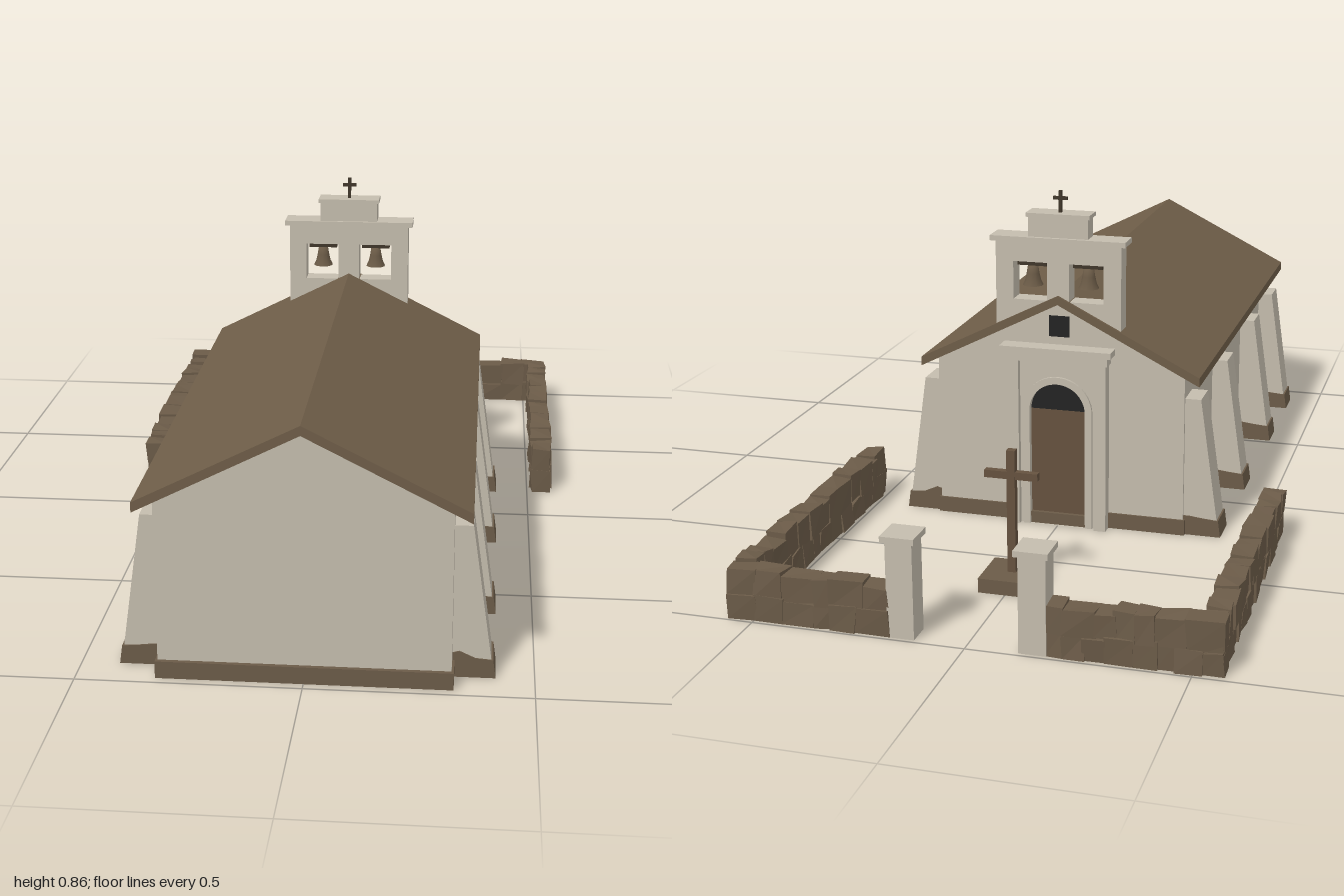
import * as THREE from 'three';

const mat = (name, color, side = THREE.FrontSide) => {
  const m = new THREE.MeshStandardMaterial({ color, side });
  m.name = name;
  return m;
};

export function createModel() {
  const plaster = mat('plaster', 0xc4bcad);
  const roofBrown = mat('roof brown', 0x6e5d48);
  const stone = mat('stone', 0x6b5b48);
  const wood = mat('wood', 0x65523f);
  const bronze = mat('bronze', 0x6a5a46, THREE.DoubleSide);
  const dark = mat('dark', 0x232323);
  const darkWood = mat('dark wood', 0x40362a);

  const root = new THREE.Group();
  root.name = 'chapel';
  const add = (name, geo, material, parent = root) => {
    const mesh = new THREE.Mesh(geo, material);
    mesh.name = name;
    parent.add(mesh);
    return mesh;
  };
  // box given by its extents
  const box = (name, m, x0, x1, y0, y1, z0, z1, parent) => {
    const b = add(name, new THREE.BoxGeometry(x1 - x0, y1 - y0, z1 - z0), m, parent);
    b.position.set((x0 + x1) / 2, (y0 + y1) / 2, (z0 + z1) / 2);
    return b;
  };
  const poly = (pts) => new THREE.Shape(pts.map(([x, y]) => new THREE.Vector2(x, y)));
  const rect = (x0, x1, y0, y1) => poly([[x0, y0], [x1, y0], [x1, y1], [x0, y1]]);
  // shape in x,y extruded from z0 to z1
  const prism = (shape, z0, z1, holes = []) => {
    shape.holes.push(...holes);
    const g = new THREE.ExtrudeGeometry(shape, { depth: z1 - z0, bevelEnabled: false, curveSegments: 12 });
    return g.translate(0, 0, z0);
  };

  // nave: two gable ends and two long walls with window openings
  const gable = () => poly([[-0.32, 0], [0.32, 0], [0.32, 0.417], [0, 0.582], [-0.32, 0.417]]);
  add('rearGable', prism(gable(), 0.94, 0.97), plaster);
  add('entranceGable', prism(gable(), -0.25, -0.22), plaster);
  const windows = [[0.125, 0.2], [0.59, 0.667]];
  for (const s of [1, -1]) {
    const holes = windows.map(([a, b]) => rect(a, b, 0.283, 0.367));
    const g = prism(rect(-0.22, 0.94, 0, 0.417), 0, 0.03, holes).rotateY(-Math.PI / 2);
    add('sideWall', g, plaster).position.x = s > 0 ? 0.32 : -0.29;
    for (const [a, b] of windows)
      box('windowPane', dark, s * 0.287 - 0.004, s * 0.287 + 0.004, 0.278, 0.372, a - 0.005, b + 0.005);
    box('sidePlinth', stone, s * 0.307 - 0.018, s * 0.307 + 0.018, 0, 0.04, -0.255, 0.98);
  }
  box('rearPlinth', stone, -0.3, 0.3, 0, 0.04, 0.935, 0.98);
  box('entrancePlinth', stone, -0.3, 0.3, 0, 0.04, -0.255, -0.215);

  // gabled roof
  add('roof', prism(poly([[-0.36, 0.397], [0, 0.58], [0.36, 0.397], [0.36, 0.42], [0, 0.602], [-0.36, 0.42]]), -0.268, 1), roofBrown);

  // sloping buttresses with stone feet
  for (const z of [-0.2, 0.147, 0.56, 0.873]) {
    for (const s of [1, -1]) {
      const b = new THREE.Group();
      b.name = 'buttress';
      b.position.z = z;
      b.rotation.y = s > 0 ? 0 : Math.PI;
      add('buttressShaft', prism(poly([[0.295, 0], [0.411, 0], [0.36, 0.357], [0.295, 0.357]]), -0.042, 0.042), plaster, b);
      add('buttressFoot', prism(poly([[0.293, 0], [0.415, 0], [0.409, 0.043], [0.37, 0.046], [0.335, s > 0 ? 0.062 : 0.05], [0.293, 0.05]]), -0.045, 0.045), stone, b);
      root.add(b);
    }
  }

  // arched portal on the entrance gable
  const archShape = (r, spring) => {
    const p = new THREE.Shape();
    p.moveTo(-r, 0);
    p.lineTo(r, 0);
    p.lineTo(r, spring);
    p.absarc(0, spring, r, 0, Math.PI, false);
    p.lineTo(-r, 0);
    return p;
  };
  const spring = 0.305;
  add('portalSurround', prism(rect(-0.12, 0.12, 0, 0.46), -0.268, -0.25, [archShape(0.072, spring)]), plaster);
  add('archMoulding', prism(archShape(0.09, spring), -0.275, -0.267, [archShape(0.072, spring)]), plaster);
  for (const s of [1, -1])
    box('pilaster', plaster, s * 0.113 - 0.015, s * 0.113 + 0.015, 0, 0.452, -0.284, -0.25);
  box('portalFrieze', plaster, -0.132, 0.132, 0.435, 0.46, -0.286, -0.25);
  box('portalCornice', plaster, -0.143, 0.143, 0.458, 0.474, -0.297, -0.25);
  box('door', wood, -0.072, 0.072, 0.03, spring, -0.258, -0.251);
  const lunette = new THREE.Shape().absarc(0, spring, 0.072, 0, Math.PI, false);
  add('lunette', prism(lunette, -0.257, -0.251), dark);
  box('doorStep', stone, -0.072, 0.072, 0, 0.03, -0.268, -0.25);
  box('gableWindow', dark, -0.026, 0.026, 0.495, 0.548, -0.254, -0.248);

  // bell gable with two openings
  const openings = [1, -1].map((s) => rect(s * 0.0715 - 0.0435, s * 0.0715 + 0.0435, 0.587, 0.683));
  add('belfry', prism(poly([[-0.16, 0.505], [0, 0.585], [0.16, 0.505], [0.16, 0.735], [-0.16, 0.735]]), -0.26, -0.21, openings), plaster);
  box('belfryCornice', plaster, -0.172, 0.172, 0.734, 0.747, -0.27, -0.203);
  box('belfryCrown', plaster, -0.076, 0.076, 0.747, 0.798, -0.26, -0.21);
  box('crownCap', plaster, -0.081, 0.081, 0.797, 0.807, -0.265, -0.205);
  box('roofCrossPost', darkWood, -0.004, 0.004, 0.807, 0.861, -0.239, -0.231);
  box('roofCrossArm', darkWood, -0.018, 0.018, 0.838, 0.846, -0.239, -0.231);
  const bellProfile = [[0.001, 0.67], [0.013, 0.668], [0.016, 0.65], [0.02, 0.632], [0.026, 0.62]];
  for (const s of [1, -1]) {
    const bell = add('bell', new THREE.LatheGeometry(bellProfile.map(([x, y]) => new THREE.Vector2(x, y)), 10), bronze);
    bell.position.set(s * 0.0715, 0, -0.235);
    box('bellBeam', darkWood, s * 0.0715 - 0.0375, s * 0.0715 + 0.0375, 0.67, 0.682, -0.243, -0.227);
  }

  // courtyard cross on its pedestal
  box('crossPedestal', stone, -0.065, 0.065, 0, 0.035, -0.715, -0.587);
  box('crossPost', wood, -0.01, 0.01, 0.03, 0.335, -0.66, -0.641);
  box('crossArm', wood, -0.064, 0.064, 0.265, 0.283, -0.659, -0.642);

  // gate posts
  for (const s of [1, -1]) {
    box('gatePost', plaster, s * 0.15 - 0.031, s * 0.15 + 0.031, 0, 0.228, -0.99, -0.93);
    box('gatePostCap', plaster, s * 0.15 - 0.039, s * 0.15 + 0.039, 0.226, 0.24, -1, -0.922);
  }

  // rubble walls: rows of blocks with jittered corners
  let seed = 7;
  const rnd = () => (seed = (seed * 16807) % 2147483647) / 2147483647;
  const rubble = (name, length, place) => {
    const wall = new THREE.Group();
    wall.name = name;
    for (const [y0, y1] of [[0, 0.058], [0.054, 0.12]]) {
      for (let t = 0; t < length - 0.002;) {
        let w = 0.035 + rnd() * 0.045;
        if (length - t - w < 0.03) w = length - t;
        const top = y1 + (rnd() - 0.5) * 0.016;
        const g = new THREE.BoxGeometry(w + 0.003, top - y0, 0.05 + rnd() * 0.008).toNonIndexed();
        const p = g.attributes.position;
        const jitter = {};
        for (let i = 0; i < p.count; i++) {
          const key = [p.getX(i) > 0, p.getY(i) > 0, p.getZ(i) > 0].join();
          jitter[key] ??= [rnd(), rnd(), rnd()].map((v) => (v - 0.5) * 0.008);
          const [jx, jy, jz] = jitter[key];
          const floor = y0 === 0 && p.getY(i) < 0;
          p.setXYZ(i, p.getX(i) + jx, p.getY(i) + (floor ? 0 : jy), p.getZ(i) + jz);
        }
        g.computeVertexNormals();
        add('wallStone', g, stone, wall).position.set(t + w / 2, (y0 + top) / 2, 0);
        t += w;
      }
    }
    place(wall);
    root.add(wall);
  };
  for (const s of [1, -1]) {
    rubble('courtyardSideWall', 0.82, (w) => { w.rotation.y = Math.PI / 2; w.position.set(s * 0.537, 0, -0.162); });
    rubble('courtyardGateWall', 0.385, (w) => w.position.set(s > 0 ? 0.178 : -0.563, 0, -0.962));
  }
  return root;
}
